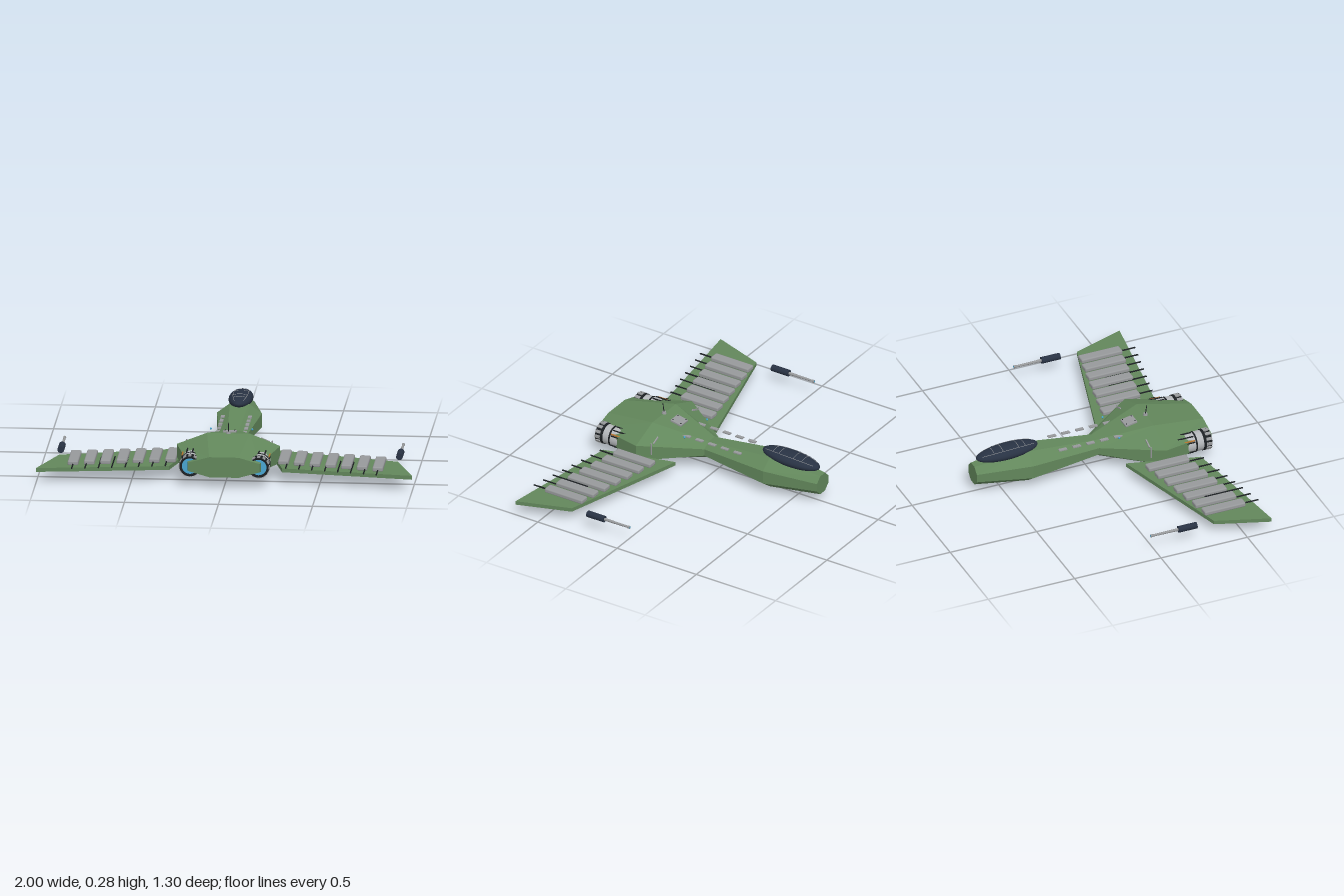
import * as THREE from 'three';
import { RoundedBoxGeometry } from 'three/addons/geometries/RoundedBoxGeometry.js';

const mat = (name, color, extra = {}) => {
  const m = new THREE.MeshStandardMaterial({ color, ...extra });
  m.name = name;
  return m;
};

export function createModel() {
  const group = new THREE.Group();
  const green = mat('hull green', 0x62875b, { flatShading: true });
  const grey = mat('panel grey', 0x97999b);
  const pale = mat('engine grey', 0xb4b7ba);
  const navy = mat('canopy navy', 0x283243);
  const black = mat('dark metal', 0x1c2023);
  const blue = mat('glow blue', 0x4aa6d2);
  const orange = mat('pipe orange', 0xb8752f);

  const add = (name, geo, material, x = 0, y = 0, z = 0, parent = group) => {
    const m = new THREE.Mesh(geo, material);
    m.name = name;
    m.position.set(x, y, z);
    parent.add(m);
    return m;
  };
  // cylinder lying along z; r1 is the +z end
  const rod = (r1, r0, len, n = 12, open = false) =>
    new THREE.CylinderGeometry(r1, r0, len, n, 1, open).rotateX(Math.PI / 2);

  // Octagonal hull: [z, half width, half height]
  const cy = 0.112;
  const sections = [[-0.65, 0.056, 0.055], [-0.35, 0.12, 0.09], [0.05, 0.072, 0.047],
    [0.35, 0.275, 0.11], [0.65, 0.19, 0.055]];
  const pos = [], idx = [], n = 8, k = Math.cos(Math.PI / 8);
  for (const [z, w, h] of sections)
    for (let j = 0; j < n; j++) {
      const a = (j + 0.5) * Math.PI * 2 / n;
      pos.push(w * Math.cos(a) / k, cy + h * Math.sin(a) / k, z);
    }
  const last = (sections.length - 1) * n;
  for (let j = 0; j < n; j++) {
    const q = (j + 1) % n;
    for (let i = 0; i < last; i += n) idx.push(i + j, i + q, i + n + j, i + q, i + n + q, i + n + j);
    if (j > 0 && j < n - 1) idx.push(0, j + 1, j, last, last + j, last + j + 1);
  }
  let hull = new THREE.BufferGeometry();
  hull.setAttribute('position', new THREE.Float32BufferAttribute(pos, 3));
  hull.setIndex(idx);
  hull = hull.toNonIndexed();
  hull.computeVertexNormals();
  add('hull', hull, green);

  // Canopy with thin frame bars
  const canopy = new THREE.Group();
  canopy.name = 'canopy';
  canopy.position.set(0, 0.204, -0.453);
  canopy.rotation.x = -0.04;
  group.add(canopy);
  const R = [0.065, 0.037, 0.177];
  add('canopyGlass', new THREE.SphereGeometry(1, 28, 16).scale(...R), navy, 0, 0, 0, canopy);
  const bar = (f, name) => {
    const pts = [];
    for (let i = 0; i <= 12; i++) pts.push(f(i / 12));
    add(name, new THREE.TubeGeometry(new THREE.CatmullRomCurve3(pts), 20, 0.0015, 5), grey, 0, 0, 0, canopy);
  };
  for (const z of [-0.085, -0.035, 0.055, 0.095]) {
    const s = Math.sqrt(1 - (z / R[2]) ** 2);
    bar(t => {
      const a = Math.PI * (0.3 + 0.4 * t);
      return new THREE.Vector3(R[0] * s * Math.cos(a), R[1] * s * Math.sin(a), z);
    }, 'canopyRib');
  }
  for (const side of [-1, 1])
    bar(t => {
      const a = Math.PI * (0.18 + 0.64 * t);
      return new THREE.Vector3(side * R[0] * 0.62 * Math.sin(a), R[1] * 0.785 * Math.sin(a), R[2] * Math.cos(a));
    }, 'canopyRail');

  // Top hatch with bolts, and antenna
  const hatch = add('hatch', new RoundedBoxGeometry(0.07, 0.014, 0.07, 1, 0.004), grey, 0, 0.206, 0.255);
  hatch.rotation.x = -0.2;
  for (const x of [-0.025, 0.025])
    for (const z of [-0.025, 0.025])
      add('hatchBolt', new THREE.CylinderGeometry(0.003, 0.003, 0.004, 8), black, x, 0.008, z, hatch);
  add('antennaBase', new THREE.CylinderGeometry(0.01, 0.013, 0.012, 12), grey, 0, 0.226, 0.35);
  const antenna = add('antenna', new THREE.CylinderGeometry(0.002, 0.003, 0.052, 6), black, 0, 0.255, 0.354);
  antenna.rotation.x = 0.15;

  // Engine profile [radius, z]
  const body = [[0.001, 0.41], [0.025, 0.415], [0.036, 0.45], [0.046, 0.49], [0.054, 0.5], [0.054, 0.59]]
    .map(p => new THREE.Vector2(...p));
  const engineGeo = new THREE.LatheGeometry(body, 24).rotateX(Math.PI / 2);

  for (const s of [-1, 1]) {
    // Wing
    const outline = [[0.2, 0.15], [0.9, 0.35], [1, 0.64], [0.3, 0.54]];
    const shape = new THREE.Shape(outline.map(([x, z]) => new THREE.Vector2(s * x, -z)));
    add('wing', new THREE.ExtrudeGeometry(shape, { depth: 0.021, bevelEnabled: false })
      .rotateX(-Math.PI / 2), green, 0, 0.064, 0);
    for (let i = 0; i < 7; i++)
      add('wingPanel', new RoundedBoxGeometry(0.057, 0.026, 0.238, 1, 0.008), grey,
        s * (0.3 + i * 0.085), 0.095, 0.345 + i * 0.0167);
    for (let i = 0; i < 8; i++)
      add('wingRod', rod(0.004, 0.004, 0.22, 8), black, s * (0.32 + i * 0.07), 0.089, 0.437 + i * 0.0143);

    // Wingtip gun
    add('gunBody', rod(0.018, 0.018, 0.106, 16), navy, s * 0.9, 0.085, 0.196);
    add('gunBarrel', rod(0.008, 0.006, 0.155, 12), grey, s * 0.9, 0.085, 0.067);
    add('gunMuzzle', rod(0.008, 0.008, 0.014, 12), grey, s * 0.9, 0.085, -0.009);
    add('muzzleGlow', rod(0.005, 0.005, 0.002, 12), blue, s * 0.9, 0.085, -0.016);

    // Engine
    const engine = new THREE.Group();
    engine.name = 'engine';
    engine.position.set(s * 0.183, 0.11, 0);
    group.add(engine);
    add('engineBody', engineGeo, pale, 0, 0, 0, engine);
    add('engineBand', rod(0.0565, 0.0565, 0.009, 24), black, 0, 0, 0.545, engine);
    add('nozzleBand', rod(0.0575, 0.0575, 0.014, 24), black, 0, 0, 0.594, engine);
    add('nozzleCore', rod(0.05, 0.053, 0.025, 24), black, 0, 0, 0.613, engine);
    add('nozzleRing', new THREE.TorusGeometry(0.05, 0.006, 8, 24), black, 0, 0, 0.629, engine);
    add('exhaustGlow', rod(0.042, 0.042, 0.004, 24), blue, 0, 0, 0.627, engine);
    for (let i = 0; i < 12; i++) {
      const a = i * Math.PI / 6;
      const petal = add('nozzlePetal', new THREE.BoxGeometry(0.007, 0.016, 0.032), grey,
        0.055 * Math.cos(a), 0.055 * Math.sin(a), 0.617, engine);
      petal.rotation.z = a;
    }
    for (const a of [0.5, 1.1, 1.7, -0.6, -1.2]) {
      const x = s * 0.056 * Math.cos(a), y = 0.056 * Math.sin(a);
      add('engineRail', rod(0.004, 0.004, 0.09, 6), black, x, y, 0.49, engine);
    }
    add('engineFuelPipe', rod(0.004, 0.004, 0.07, 8), orange, s * 0.048, 0.037, 0.5, engine);

    // Neck plates, marker lights and grab bars
    for (let i = 0; i < 5; i++)
      add('neckPlate', new THREE.BoxGeometry(0.02, 0.006, 0.045), grey, s * 0.072, 0.178, -0.16 + i * 0.08);
    add('markerLight', new THREE.SphereGeometry(0.006, 10, 8), blue, s * 0.11, 0.193, 0.15);
    const grab = add('grabBar', new THREE.BoxGeometry(0.05, 0.008, 0.007), grey, s * 0.19, 0.17, 0.28);
    grab.rotation.z = -s * 0.4;
    add('sidePost', new THREE.CylinderGeometry(0.004, 0.004, 0.065, 8), grey, s * 0.228, 0.135, 0.283);
  }
  return group;
}
